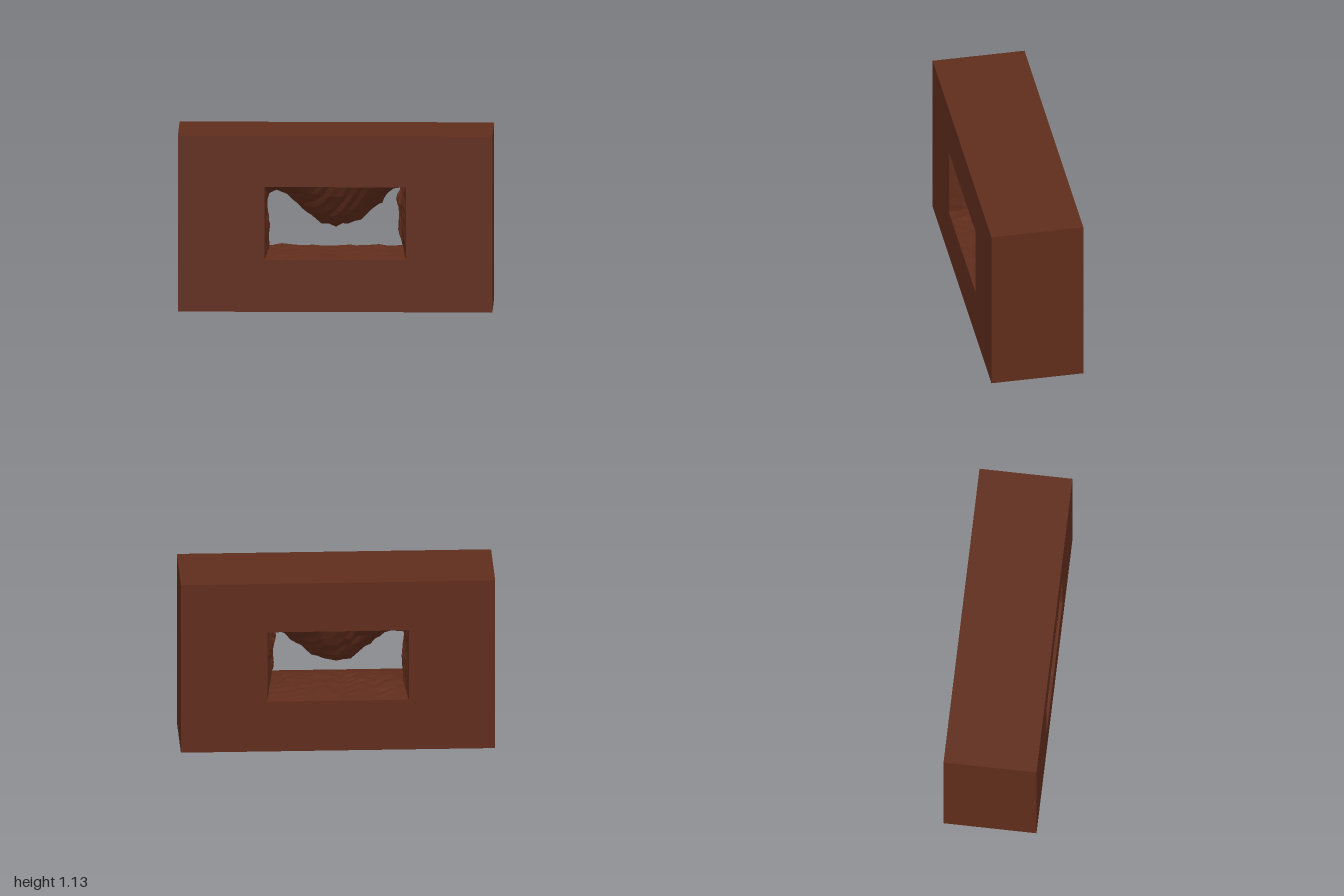
import * as THREE from 'three';

const W = 2, H = 1.13, Z0 = -0.3, Z1 = 0.295;
const HOLE = { l: -0.45, r: 0.45, b: 0.335, t: 0.803 };

// Narrowest outline of the rough opening, one list per side, counter-clockwise
const SIDES = [
  { from: [HOLE.l, HOLE.b], to: [HOLE.r, HOLE.b], // floor
    inner: [[-0.43, 0.36], [-0.35, 0.385], [-0.25, 0.37], [-0.15, 0.37], [-0.03, 0.35], [0.08, 0.37], [0.18, 0.36], [0.28, 0.375], [0.36, 0.36], [0.435, 0.365]] },
  { from: [HOLE.r, HOLE.b], to: [HOLE.r, HOLE.t], // right-hand wall
    inner: [[0.435, 0.365], [0.42, 0.42], [0.4, 0.49], [0.41, 0.58], [0.4, 0.64], [0.385, 0.68], [0.41, 0.74], [0.415, 0.785]] },
  { from: [HOLE.r, HOLE.t], to: [HOLE.l, HOLE.t], // ceiling with hanging rock
    inner: [[0.415, 0.785], [0.36, 0.77], [0.29, 0.67], [0.22, 0.62], [0.16, 0.56], [0.08, 0.53], [0, 0.513], [-0.09, 0.53], [-0.18, 0.6], [-0.25, 0.66], [-0.3, 0.72], [-0.37, 0.755], [-0.425, 0.72]] },
  { from: [HOLE.l, HOLE.t], to: [HOLE.l, HOLE.b], // left-hand wall
    inner: [[-0.425, 0.72], [-0.44, 0.66], [-0.44, 0.58], [-0.425, 0.52], [-0.43, 0.46], [-0.43, 0.36]] },
];

// Seeded value in -1..1 for a ring/station pair
function hash(i, j) {
  const s = Math.sin(i * 127.1 + j * 311.7 + 4.2) * 43758.5453;
  return (s - Math.floor(s)) * 2 - 1;
}

const lerp = THREE.MathUtils.lerp;

// Closed ring of { outer, inner } point pairs around the opening
function makeRing(sub) {
  const ring = [];
  for (const { from, to, inner } of SIDES) {
    const n = (inner.length - 1) * sub;
    for (let k = 0; k < n; k++) {
      const s = Math.floor(k / sub), f = (k % sub) / sub, u = k / n;
      ring.push({
        outer: [lerp(from[0], to[0], u), lerp(from[1], to[1], u)],
        inner: [0, 1].map(a => lerp(inner[s][a], inner[s + 1][a], f)),
      });
    }
  }
  return ring;
}

// Rough tunnel lofted from the straight front edge to the straight back edge
function tunnelGeometry() {
  const ring = makeRing(2), n = ring.length, steps = 16;
  const pos = [], index = [];
  for (let i = 0; i <= steps; i++) {
    const t = i / steps, bell = Math.sin(Math.PI * t);
    ring.forEach(({ outer, inner }, j) => {
      const w = Math.pow(Math.max(bell, 0), 0.9);
      const edge = i === 0 || i === steps;
      const bump = edge ? 0 : 0.009 * hash(i, j) * bell;
      const x = lerp(outer[0], inner[0], w), y = lerp(outer[1], inner[1], w);
      const z = lerp(Z0, Z1, t) + (edge ? 0 : 0.01 * hash(j + 50, i));
      pos.push(x - bump * Math.sign(x) * Math.abs(x) / 0.45, y + bump, z);
    });
  }
  for (let i = 0; i < steps; i++) {
    for (let j = 0; j < n; j++) {
      const a = i * n + j, b = i * n + (j + 1) % n, c = a + n, d = b + n;
      index.push(a, c, b, b, c, d);
    }
  }
  const g = new THREE.BufferGeometry();
  g.setAttribute('position', new THREE.Float32BufferAttribute(pos, 3));
  g.setIndex(index);
  g.computeVertexNormals();
  return g;
}

// Flat face with the rectangular opening
function faceGeometry() {
  const shape = new THREE.Shape([[-1, 0], [1, 0], [1, H], [-1, H]].map(p => new THREE.Vector2(...p)));
  const { l, r, b, t } = HOLE;
  shape.holes.push(new THREE.Path([[l, b], [l, t], [r, t], [r, b]].map(p => new THREE.Vector2(...p))));
  return new THREE.ShapeGeometry(shape);
}

export function createModel() {
  const group = new THREE.Group();
  const color = 0x5f2c1b;
  const flat = new THREE.MeshStandardMaterial({ color });
  const rock = new THREE.MeshStandardMaterial({ color, flatShading: true, side: THREE.DoubleSide });
  const add = (name, geometry, material = flat) => {
    const mesh = new THREE.Mesh(geometry, material);
    mesh.name = name;
    group.add(mesh);
    return mesh;
  };

  // Front and back faces (the opening is symmetric in x)
  add('frontFace', faceGeometry()).position.z = Z1;
  const back = add('backFace', faceGeometry());
  back.position.z = Z0;
  back.rotation.y = Math.PI;

  // Outer sides of the block
  const depth = Z1 - Z0, zc = (Z0 + Z1) / 2;
  for (const s of [1, -1]) {
    const side = add(s > 0 ? 'leftSide' : 'rightSide', new THREE.PlaneGeometry(depth, H));
    side.rotation.y = s * Math.PI / 2;
    side.position.set(s * W / 2, H / 2, zc);
    const cap = add(s > 0 ? 'topSide' : 'bottomSide', new THREE.PlaneGeometry(W, depth));
    cap.rotation.x = -s * Math.PI / 2;
    cap.position.set(0, s > 0 ? H : 0, zc);
  }

  // Rocky passage through the block
  add('rockTunnel', tunnelGeometry(), rock);
  return group;
}
